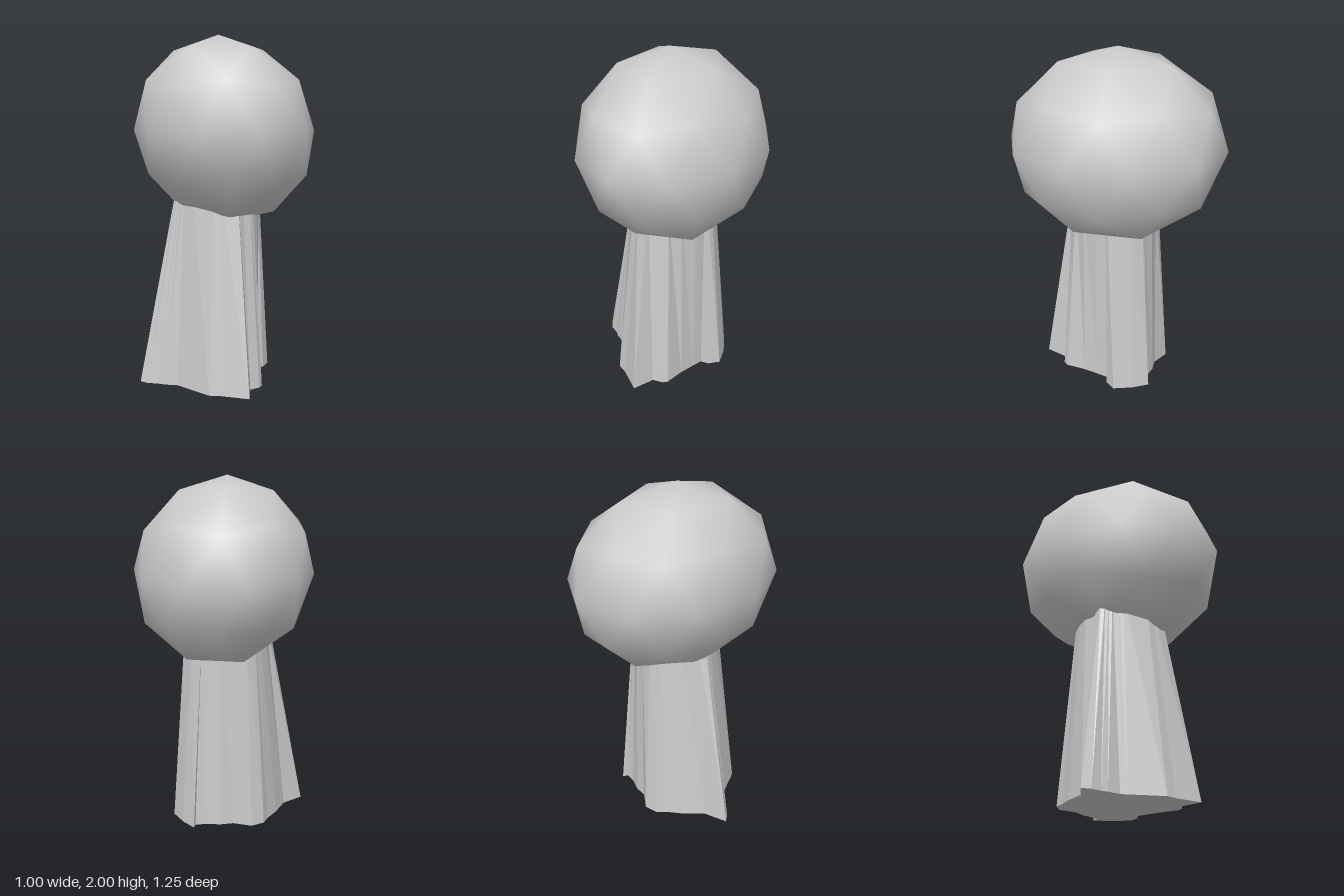
import * as THREE from 'three';
import { mergeVertices } from 'three/addons/utils/BufferGeometryUtils.js';

const material = () => new THREE.MeshStandardMaterial({ color: 0xcccccc });

// Low-poly ball with poles up and a ring corner pointing to +x, smooth shaded
function crownGeometry() {
  let g = new THREE.IcosahedronGeometry(1, 1);
  g.deleteAttribute('uv');
  g.deleteAttribute('normal');
  g = mergeVertices(g, 1e-4);
  const pole = new THREE.Vector3(0, 1, (1 + Math.sqrt(5)) / 2).normalize();
  g.applyQuaternion(new THREE.Quaternion().setFromUnitVectors(pole, new THREE.Vector3(0, 1, 0)));
  // turn about y until one corner of the upper ring lies on +x
  const p = g.attributes.position;
  for (let i = 0; i < p.count; i++) {
    if (Math.abs(p.getY(i) - 1 / Math.sqrt(5)) < 0.01) {
      g.rotateY(Math.atan2(p.getZ(i), p.getX(i)));
      break;
    }
  }
  // stretch and lean slightly
  for (let i = 0; i < p.count; i++) {
    const x = p.getX(i), y = p.getY(i), z = p.getZ(i);
    p.setXYZ(i, 0.0125 + 0.5125 * x - 0.03 * y, 1.46 + 0.54 * y, 0.625 * z);
  }
  g.computeVertexNormals();
  return g;
}

// Ribbed trunk: irregular outline that grows rounder and narrower upwards
function trunkGeometry() {
  const outline = [
    [0.02, 0.455], [0.07, 0.33], [0.13, 0.315], [0.155, 0.29], [0.175, 0.17], [0.2, 0.08],
    [0.22, 0.015], [0.27, 0.005], [0.32, -0.05], [0.285, -0.16], [0.235, -0.25], [0.22, -0.22],
    [0.16, -0.22], [0.075, -0.245], [0, -0.245], [-0.1, -0.3], [-0.18, -0.275], [-0.22, -0.22],
    [-0.29, -0.15], [-0.37, -0.045], [-0.5, 0.015], [-0.465, 0.055], [-0.41, 0.08],
    [-0.38, 0.105], [-0.31, 0.14], [-0.29, 0.17], [-0.18, 0.34], [-0.12, 0.365],
  ];
  const shape = new THREE.Shape(outline.map(([x, z]) => new THREE.Vector2(x, -z)));
  const g = new THREE.ExtrudeGeometry(shape, { depth: 1.15, bevelEnabled: false });
  g.rotateX(-Math.PI / 2);
  const p = g.attributes.position;
  for (let i = 0; i < p.count; i++) {
    const x = p.getX(i), y = p.getY(i), z = p.getZ(i);
    const r = Math.hypot(x, z);
    const k = 1 + ((0.17 + 0.24 * r) / r - 1) * (y / 1.05);
    p.setXYZ(i, x * k, y, z * k);
  }
  g.computeVertexNormals();
  return g;
}

export function createModel() {
  const group = new THREE.Group();
  group.name = 'tree';
  const parts = { crown: crownGeometry(), trunk: trunkGeometry() };
  for (const [name, geometry] of Object.entries(parts)) {
    const mesh = new THREE.Mesh(geometry, material());
    mesh.name = name;
    mesh.material.flatShading = name === 'trunk';
    group.add(mesh);
  }
  return group;
}
